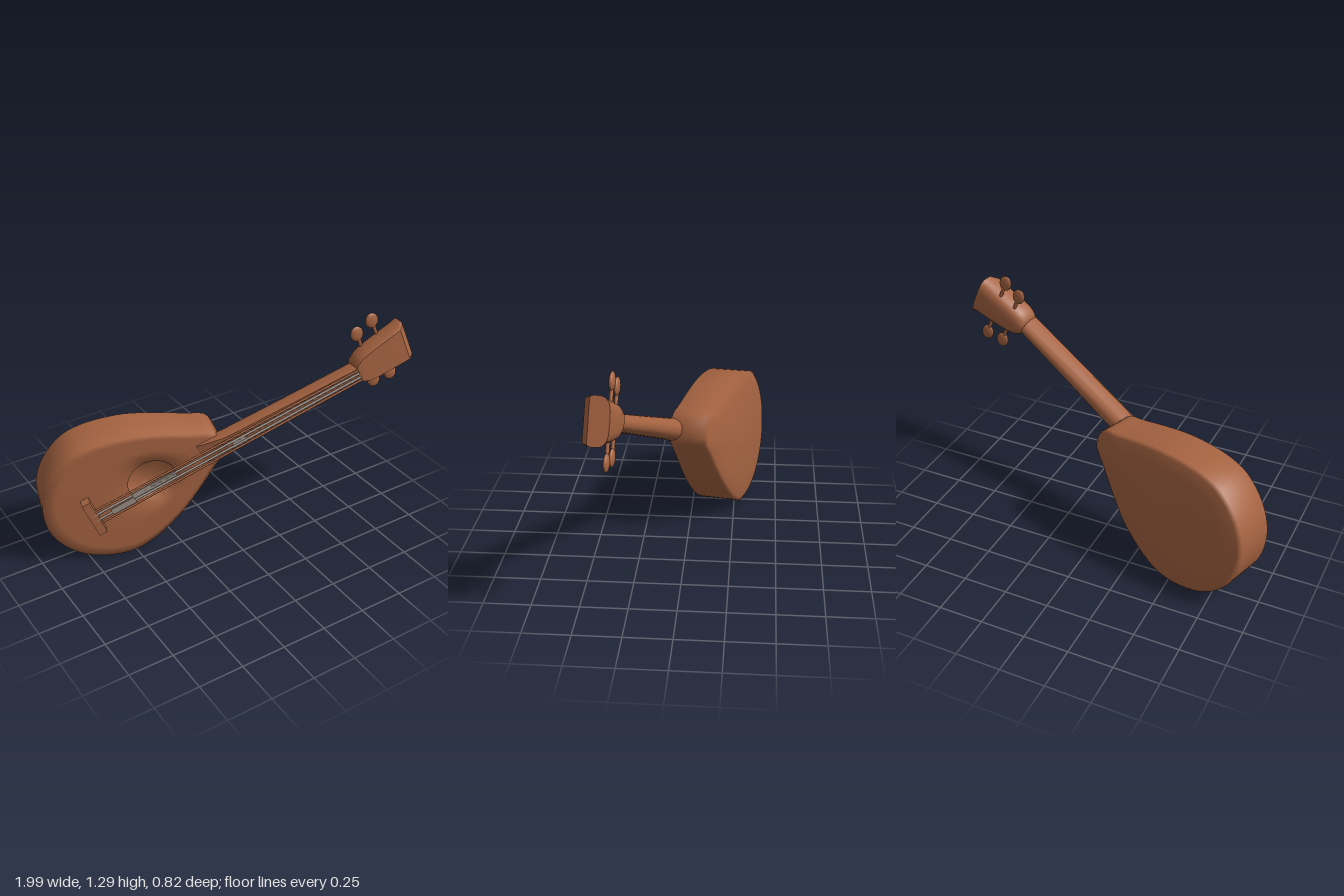
import * as THREE from 'three';
import { toCreasedNormals } from 'three/addons/utils/BufferGeometryUtils.js';

const V = (x, y, z) => new THREE.Vector3(x, y, z);

// Skin a list of closed rings; both ends are closed to their centres.
function loft(rings) {
  const n = rings[0].length;
  const centre = ring => ring.reduce((s, p) => s.add(p), V(0, 0, 0)).divideScalar(n);
  const pts = [...rings.flat(), centre(rings[0]), centre(rings.at(-1))];
  const first = rings.length * n, last = first + 1, index = [];
  for (let j = 0; j < n; j++) {
    const k = (j + 1) % n;
    index.push(first, j, k);
    for (let i = 0; i < rings.length - 1; i++) {
      const a = i * n + j, b = i * n + k;
      index.push(a, a + n, b + n, a, b + n, b);
    }
    const e = (rings.length - 1) * n;
    index.push(last, e + k, e + j);
  }
  const g = new THREE.BufferGeometry().setFromPoints(pts);
  g.setIndex(index);
  g.computeVertexNormals();
  return g;
}

// Cross-section with a flat front and a rounded back, across the neck.
function section(a, w, front, back, power) {
  const mid = front - 0.25 * (front - back), ring = [];
  for (let i = 0; i < 32; i++) {
    const t = (i / 32) * Math.PI * 2, s = -Math.sin(t), c = Math.cos(t);
    const b = w * Math.sign(c) * Math.pow(Math.abs(c), s > 0 ? 1 : power);
    const h = s > 0 ? mid + (front - mid) * Math.min(1, 3 * s)
      : mid - (mid - back) * Math.pow(-s, power);
    ring.push(V(a, b, h));
  }
  return ring;
}

// Turn a group so its x runs along an axis and its z along a face normal.
function pose(group, axis, normal, position) {
  const u = axis.normalize();
  const n = normal.addScaledVector(u, -normal.dot(u)).normalize();
  const v = n.clone().cross(u);
  group.quaternion.setFromRotationMatrix(new THREE.Matrix4().makeBasis(u, v, n));
  group.position.copy(position);
}

export function createModel() {
  const wood = new THREE.MeshStandardMaterial({ color: 0xa56341 });
  wood.name = 'brown wood';
  const wire = new THREE.MeshStandardMaterial({ color: 0x9c9088 });
  wire.name = 'grey string';

  const model = new THREE.Group();
  model.name = 'stringInstrument';
  const add = (name, geometry, material, parent) => {
    const mesh = new THREE.Mesh(geometry, material);
    mesh.name = name;
    parent.add(mesh);
    return mesh;
  };

  // Body and neck frame: x along the neck, y across it, z out of the soundboard
  const lute = new THREE.Group();
  lute.name = 'bodyAndNeck';
  pose(lute, V(1, 0.481, 0.31), V(-0.271, -0.055, 0.961), V(-0.735, 0.315, -0.111));
  model.add(lute);

  // Pear-shaped body with a recessed sound hole and a slightly domed back
  const half = [[-0.22, 0.15], [-0.15, 0.26], [-0.05, 0.34], [0.07, 0.388], [0.18, 0.386],
    [0.3, 0.354], [0.42, 0.304], [0.55, 0.228], [0.69, 0.132], [0.785, 0.064]];
  const shift = 0.008;
  const outline = new THREE.CatmullRomCurve3([
    V(-0.252, shift, 0),
    ...half.map(([a, w]) => V(a, shift - w, 0)),
    ...half.slice().reverse().map(([a, w]) => V(a, shift + w, 0)),
  ], true).getPoints(64).slice(0, 64);
  const hole = V(0.365, 0, 0), holeR = 0.135;
  const lip = outline.map(p => p.clone().sub(hole).setLength(holeR).add(hole));
  const at = (ring, c) => ring.map(p => V(p.x, p.y, c));
  const atBack = (ring, c) => ring.map(p => V(p.x, p.y, c + 0.03 * Math.max(0, (p.x - 0.4) / 0.4)));
  const spread = t => lip.map((p, i) => p.clone().lerp(outline[i], t));
  const shrink = t => outline.map(p => p.clone().lerp(V(0.25, 0, 0), 1 - t));
  add('body', loft([
    at(lip, -0.06), at(lip, 0), at(spread(0.4), 0), at(spread(0.85), 0),
    at(outline, -0.004), at(outline, -0.12), atBack(outline, -0.23),
    atBack(shrink(0.95), -0.243), atBack(shrink(0.75), -0.256),
    atBack(shrink(0.4), -0.266), atBack(shrink(0.1), -0.27),
  ]), wood, lute);

  // Neck, rising from the soundboard to just under the strings
  add('neck', toCreasedNormals(loft([
    section(0.66, 0.07, 0.002, -0.09, 0.9),
    section(0.74, 0.066, 0.022, -0.08, 0.9),
    section(0.82, 0.06, 0.04, -0.07, 0.9),
    section(1.2, 0.052, 0.047, -0.062, 0.9),
    section(1.62, 0.045, 0.053, -0.055, 0.9),
  ]), 0.7), wood, lute);

  // Bridge
  const bridge = add('bridge', new THREE.BoxGeometry(0.048, 0.235, 0.056), wood, lute);
  bridge.position.set(0, 0, 0.022);
  bridge.rotation.z = -0.06;

  // Four strings from the bridge to the nut
  [-1, -0.4, 0.4, 1].forEach((k, i) => {
    const path = new THREE.LineCurve3(V(0, k * 0.047, 0.044), V(1.61, k * 0.034, 0.057));
    const inner = i === 1 || i === 2;
    add('string', new THREE.TubeGeometry(path, 1, inner ? 0.007 : 0.006, 8), inner ? wire : wood, lute);
  });

  // Thin grey strips between the strings
  for (const [start, end, b, w] of [[0.1, 0.24, -0.012, 0.04], [0.24, 0.5, 0.014, 0.036], [0.84, 0.92, -0.004, 0.05]]) {
    const strip = add('stringStrip', new THREE.BoxGeometry(end - start, w, 0.004), wire, lute);
    strip.position.set((start + end) / 2, b, 0.05);
  }

  // Peg head, tilted back from the neck, with its face dropping near the tip
  const headGroup = new THREE.Group();
  headGroup.name = 'pegHead';
  pose(headGroup, V(1, 0.43, 0.115), V(-0.115, 0, 1), V(0.645, 0.985, 0.36));
  model.add(headGroup);
  add('head', toCreasedNormals(loft([
    section(0, 0.046, 0.012, -0.095, 0.8),
    section(0.015, 0.064, 0.014, -0.108, 0.75),
    section(0.05, 0.084, 0.015, -0.116, 0.7),
    section(0.1, 0.094, 0.016, -0.12, 0.65),
    section(0.2, 0.104, 0.017, -0.12, 0.6),
    section(0.3, 0.114, 0.017, -0.117, 0.6),
    section(0.335, 0.118, -0.014, -0.115, 0.6),
  ]), 0.7), wood, headGroup);

  // Four tuning pegs
  for (const side of [1, -1]) {
    for (const [a, b] of [[0.1, 0.168], [0.204, 0.189]]) {
      const peg = new THREE.Group();
      peg.name = 'tuningPeg';
      peg.position.set(a, side * b, -0.08);
      headGroup.add(peg);
      const knob = add('pegKnob', new THREE.SphereGeometry(1, 20, 14), wood, peg);
      knob.scale.set(0.038, 0.046, 0.015);
      const stem = add('pegStem', new THREE.CylinderGeometry(0.01, 0.01, 0.11, 12), wood, peg);
      stem.position.y = -side * 0.07;
    }
  }
  return model;
}
